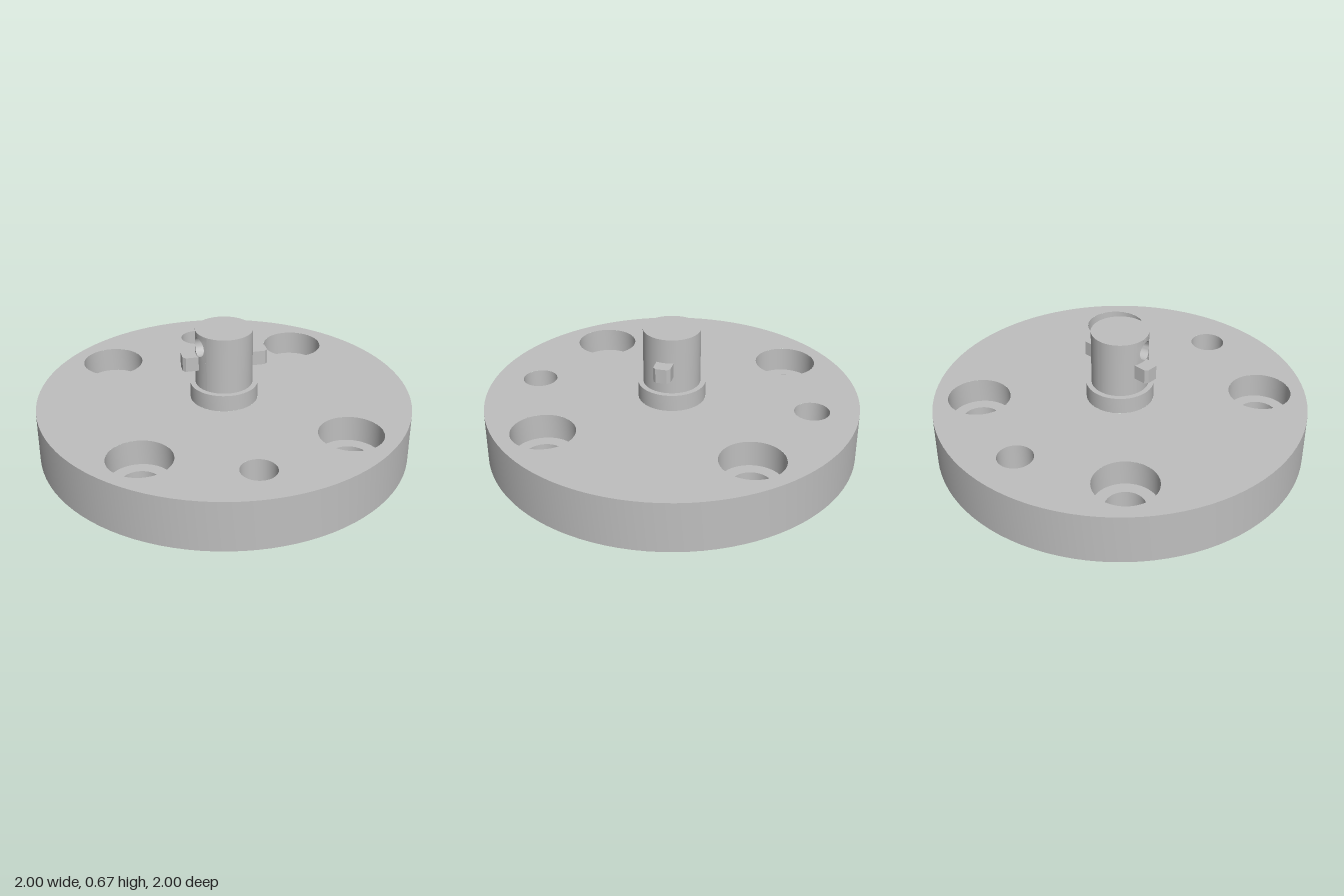
import * as THREE from 'three';
import { toCreasedNormals } from 'three/addons/utils/BufferGeometryUtils.js';

export function createModel() {
  const group = new THREE.Group();
  const steel = new THREE.MeshStandardMaterial({ color: 0xbfbfbf });
  steel.name = 'grey steel';

  const add = (name, geometry, x = 0, y = 0, z = 0) => {
    const mesh = new THREE.Mesh(toCreasedNormals(geometry, 0.6), steel);
    mesh.name = name;
    mesh.position.set(x, y, z);
    group.add(mesh);
    return mesh;
  };
  // Rising profiles face outward, falling profiles face the axis
  const lathe = (points, segments = 48) =>
    new THREE.LatheGeometry(points.map(p => new THREE.Vector2(...p)), segments);

  const TOP = 0.275, STEP = 0.137;
  const bolts = [[-0.535, -0.535], [0.535, -0.535], [-0.535, 0.535], [0.535, 0.535]];
  const dowels = [[0, -0.755], [0, 0.755]];

  // Flat disc face with round holes [x, z, radius]
  const discFace = holes => {
    const shape = new THREE.Shape().absarc(0, 0, 1, 0, Math.PI * 2);
    for (const [x, z, r] of holes) {
      shape.holes.push(new THREE.Path().absarc(x, -z, r, 0, Math.PI * 2, true));
    }
    return new THREE.ShapeGeometry(shape, 48).rotateX(-Math.PI / 2);
  };
  const smallHoles = dowels.map(p => [...p, 0.093]);

  // Disc
  add('discRim', lathe([[1, 0], [1, TOP]], 96));
  add('discTop', discFace([...bolts.map(p => [...p, 0.167]), ...smallHoles, [0, 0, 0.18]]), 0, TOP);
  add('discBottom', discFace([...bolts.map(p => [...p, 0.102]), ...smallHoles]).rotateX(Math.PI));

  // Counterbored bolt holes and plain dowel holes
  for (const [x, z] of bolts) {
    add('boltHole', lathe([[0.167, TOP], [0.167, STEP], [0.102, STEP], [0.102, 0]]), x, 0, z);
  }
  for (const [x, z] of dowels) add('dowelHole', lathe([[0.093, TOP], [0.093, 0]]), x, 0, z);

  // Collar and post
  const R = 0.152, BASE = 0.365, HEAD = 0.67;
  add('collar', lathe([[0.18, TOP], [0.18, BASE], [R, BASE]]));
  add('postTop', new THREE.CircleGeometry(R, 64).rotateX(-Math.PI / 2), 0, HEAD);

  // Post wall, leaving a square window for the side hole
  const HOLE_Y = 0.593, HALF = 0.07, half = HALF / R;
  const turn = THREE.MathUtils.degToRad(-75);
  const wall = (y0, y1, start, length, segments) => add('postWall',
    new THREE.CylinderGeometry(R, R, y1 - y0, segments, 1, true, start, length), 0, (y0 + y1) / 2);
  wall(BASE, HEAD, turn + half, Math.PI * 2 - 2 * half, 64);
  wall(BASE, HOLE_Y - HALF, turn - half, 2 * half, 8);
  wall(HOLE_Y + HALF, HEAD, turn - half, 2 * half, 8);

  // Side hole: rings run from the square window to the round lip, the bore and its floor
  const N = 32;
  const bore = new THREE.PlaneGeometry(1, 1, N, 3);
  const pos = bore.attributes.position;
  for (let i = 0; i < pos.count; i++) {
    const row = Math.floor(i / (N + 1));
    const a = -(i % (N + 1)) / N * Math.PI * 2;
    const c = Math.cos(a), s = Math.sin(a);
    const square = HALF / Math.max(Math.abs(c), Math.abs(s));
    const r = [square, 0.052, 0.052, 0][row];
    const angle = r * c / R;
    pos.setXYZ(i, R * Math.sin(angle), r * s, row < 2 ? R * Math.cos(angle) : 0.06);
  }
  add('postSideHole', bore.rotateY(turn), 0, HOLE_Y);

  // Side lugs with slightly cut outer corners
  const plan = new THREE.Shape([[0.13, -0.045], [0.212, -0.045], [0.227, -0.03],
    [0.227, 0.03], [0.212, 0.045], [0.13, 0.045]].map(p => new THREE.Vector2(...p)));
  for (const [name, angle] of [['leftLug', 0], ['rightLug', Math.PI]]) {
    const lug = new THREE.ExtrudeGeometry(plan, { depth: 0.078, bevelEnabled: false });
    add(name, lug.rotateX(-Math.PI / 2).rotateY(angle), 0, 0.461);
  }

  return group;
}
